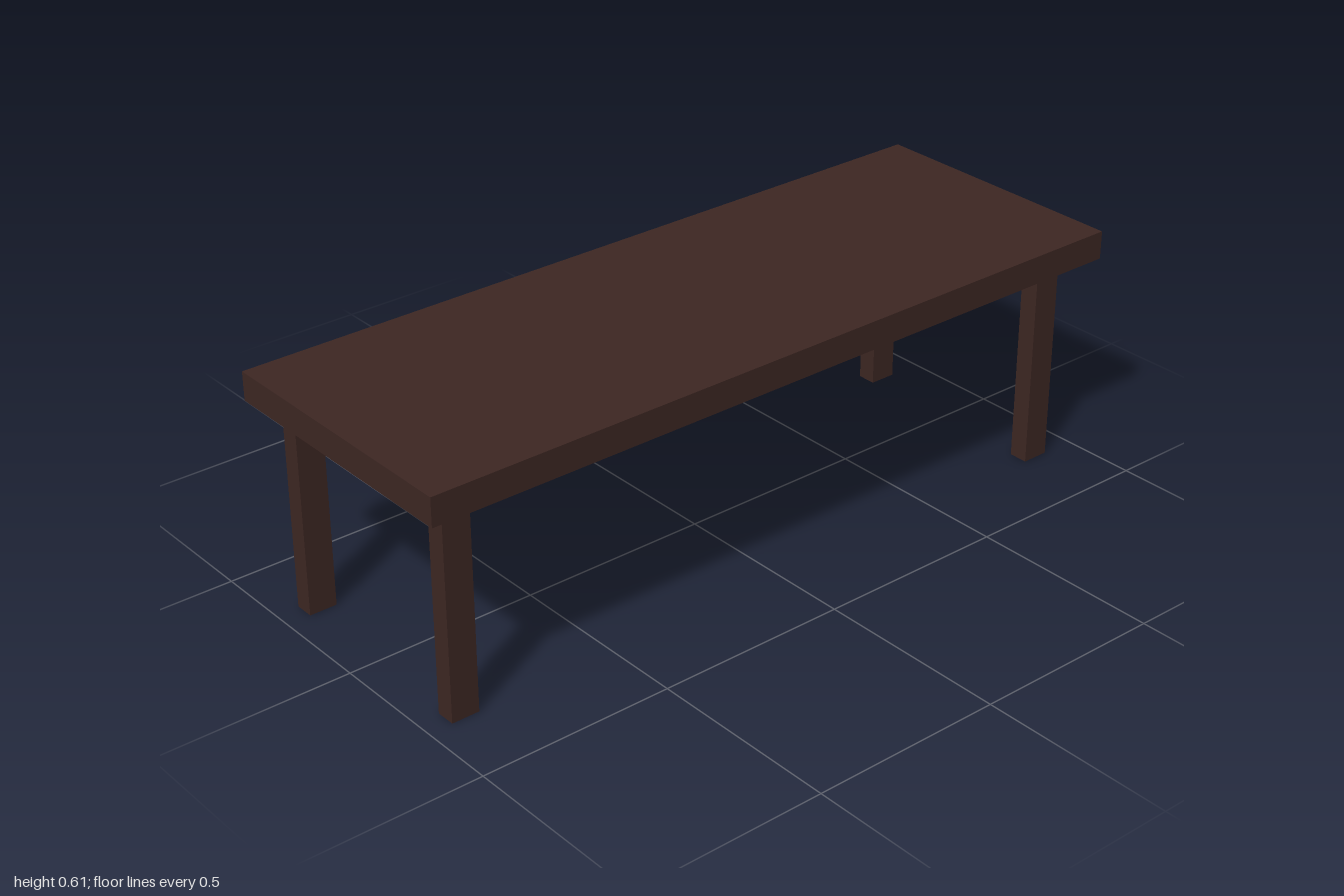
import * as THREE from 'three';

export function createModel() {
  const table = new THREE.Group();
  table.name = 'table';
  const wood = new THREE.MeshStandardMaterial({ color: 0x3e2723 });

  const addBox = (name, [w, h, d], [x, y, z]) => {
    const mesh = new THREE.Mesh(new THREE.BoxGeometry(w, h, d), wood);
    mesh.name = name;
    mesh.position.set(x, y, z);
    table.add(mesh);
  };

  const underside = 0.539;
  const topThickness = 0.073;

  // Thick slab top
  addBox('tableTop', [0.718, topThickness, 2], [0, underside + topThickness / 2, 0]);

  // Four square-cut legs, the front pair set slightly closer to its end
  for (const [end, z] of [['front', 0.903], ['back', -0.875]]) {
    for (const [side, x] of [['Left', 0.279], ['Right', -0.281]]) {
      addBox(`${end}${side}Leg`, [0.05, underside, 0.072], [x, underside / 2, z]);
    }
  }

  return table;
}
